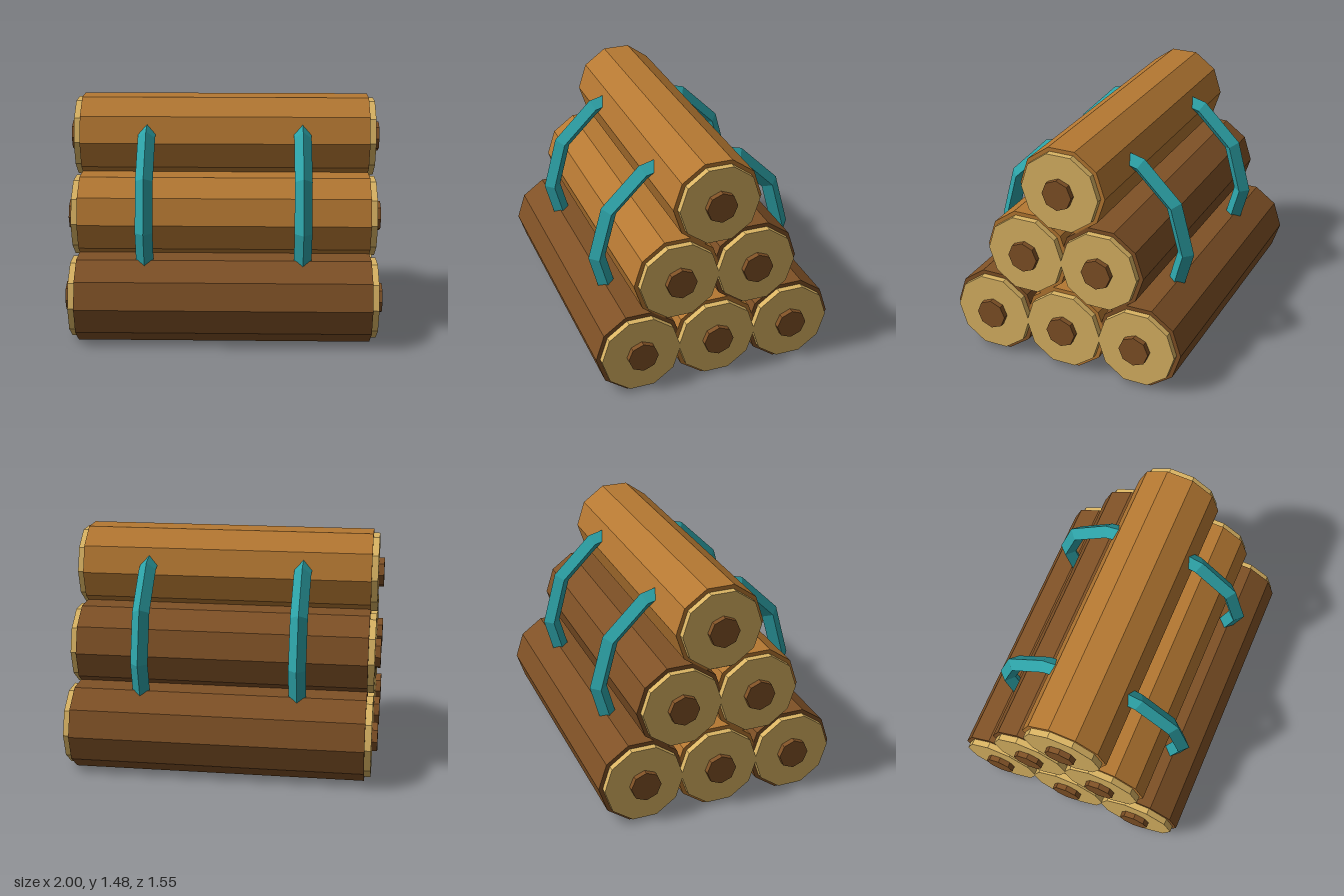
import * as THREE from 'three';

function material(name, color) {
  const m = new THREE.MeshStandardMaterial({ color });
  m.name = name;
  return m;
}

export function createModel() {
  const model = new THREE.Group();
  model.name = 'logPile';

  const lightBark = material('light bark', 0xb57832);
  const darkBark = material('dark bark', 0x7f5126);
  const cutWood = material('cut wood', 0xdab463);
  const strapTeal = material('strap teal', 0x2da3a8);

  // Faceted cylinder lying along x
  const prism = (radius, length, sides) =>
    new THREE.CylinderGeometry(radius, radius, length, sides).toNonIndexed().rotateZ(Math.PI / 2);
  const flat = (geometry) => {
    geometry.computeVertexNormals();
    return geometry;
  };

  // Each log: bark, slightly protruding cut ends and a protruding core
  const barkGeo = flat(prism(0.28, 1.85, 10));
  const endGeo = flat(prism(0.254, 0.04, 10));
  const coreGeo = flat(prism(0.097, 0.035, 8));

  function addLog(y, z, bark) {
    const log = new THREE.Group();
    log.name = 'log';
    const part = (name, geometry, mat, x) => {
      const mesh = new THREE.Mesh(geometry, mat);
      mesh.name = name;
      mesh.position.x = x;
      log.add(mesh);
    };
    part('bark', barkGeo, bark, 0);
    for (const side of [-1, 1]) {
      part('cutEnd', endGeo, cutWood, side * 0.945);
      part('core', coreGeo, darkBark, side * 0.9825);
    }
    log.position.set(0, y, z);
    model.add(log);
  }

  // Pyramid of three, two and one logs with alternating bark
  const pitch = 0.496;
  for (let row = 0; row < 3; row++) {
    const count = 3 - row;
    for (let i = 0; i < count; i++) {
      const z = ((count - 1) / 2 - i) * pitch;
      const light = (row + i) % 2 === 1;
      addLog(0.266 + row * 0.4735, z, light || row === 2 ? lightBark : darkBark);
    }
  }

  // Two twelve-sided straps with a diamond section, partly sunk in the logs
  const strapGeo = flat(new THREE.TorusGeometry(0.62, 0.055, 4, 12).toNonIndexed().rotateY(Math.PI / 2));
  for (const side of [-1, 1]) {
    const strap = new THREE.Mesh(strapGeo, strapTeal);
    strap.name = 'strap';
    strap.position.set(side * 0.495, 0.72, 0);
    model.add(strap);
  }

  return model;
}
